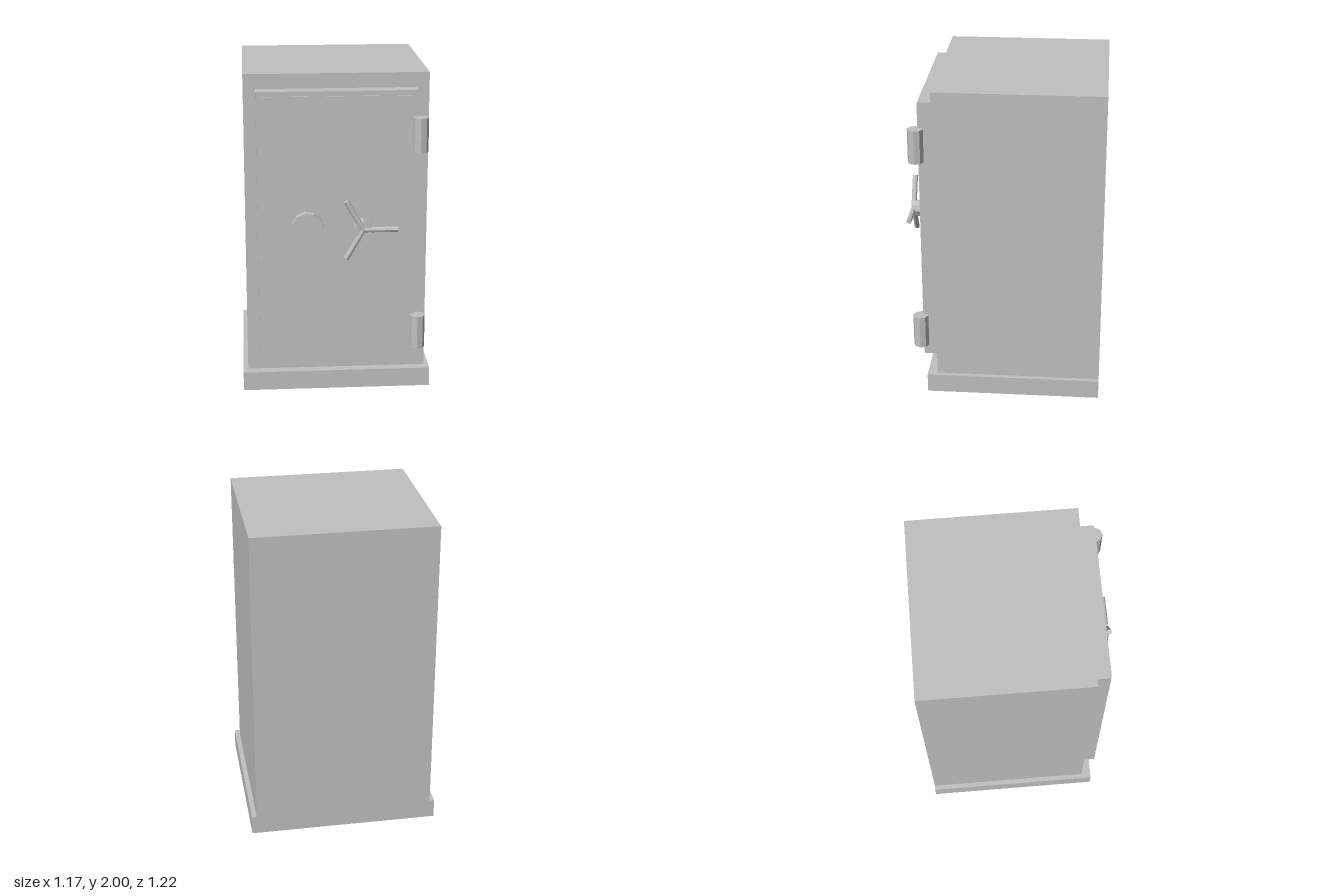
import * as THREE from 'three';

export function createModel() {
  const safe = new THREE.Group();
  safe.name = 'safe';
  const steel = new THREE.MeshStandardMaterial({ color: 0xc0c0c0, flatShading: true });
  steel.name = 'grey steel';

  const add = (name, geometry, x, y, z, parent = safe) => {
    const mesh = new THREE.Mesh(geometry, steel);
    mesh.name = name;
    mesh.position.set(x, y, z);
    parent.add(mesh);
    return mesh;
  };

  // Box given by its minimum and maximum corners
  const box = (name, [x0, y0, z0], [x1, y1, z1]) =>
    add(name, new THREE.BoxGeometry(x1 - x0, y1 - y0, z1 - z0),
      (x0 + x1) / 2, (y0 + y1) / 2, (z0 + z1) / 2);

  // Cabinet, plinth and stepped door
  box('plinth', [-0.586, 0, -0.613], [0.586, 0.12, 0.47]);
  box('cabinet', [-0.556, 0.12, -0.613], [0.556, 2, 0.41]);
  box('door', [-0.482, 0.215, 0.41], [0.48, 1.91, 0.5]);
  box('doorPanel', [-0.451, 0.242, 0.5], [0.449, 1.88, 0.507]);

  // Hinge barrels on the door's left edge
  for (const y of [0.395, 1.645]) {
    const barrel = new THREE.CylinderGeometry(0.048, 0.048, 0.21, 8, 1, false, -0.06);
    add('hinge', barrel, 0.494, y, 0.515);
  }

  // Combination dial, eleven-sided with a corner towards +x
  const dial = new THREE.CylinderGeometry(0.0975, 0.0975, 0.05, 11, 1, false, Math.PI / 2);
  dial.rotateX(Math.PI / 2);
  add('dial', dial, -0.183, 1.082, 0.532);

  // Three-spoked handle on a short hub
  const handle = new THREE.Group();
  handle.name = 'handle';
  handle.position.set(0.15, 1.082, 0);
  safe.add(handle);
  const hub = new THREE.CylinderGeometry(0.053, 0.053, 0.093, 8, 1, false, -0.06);
  hub.rotateX(Math.PI / 2);
  add('hub', hub, 0, 0, 0.5535, handle);
  for (let i = 0; i < 3; i++) {
    const spoke = new THREE.CylinderGeometry(0.0165, 0.0165, 0.208, 8);
    spoke.translate(0, 0.104, 0).rotateZ(-Math.PI / 2 + (i * 2 * Math.PI) / 3);
    add('spoke', spoke, 0, 0, 0.591, handle);
  }
  return safe;
}
